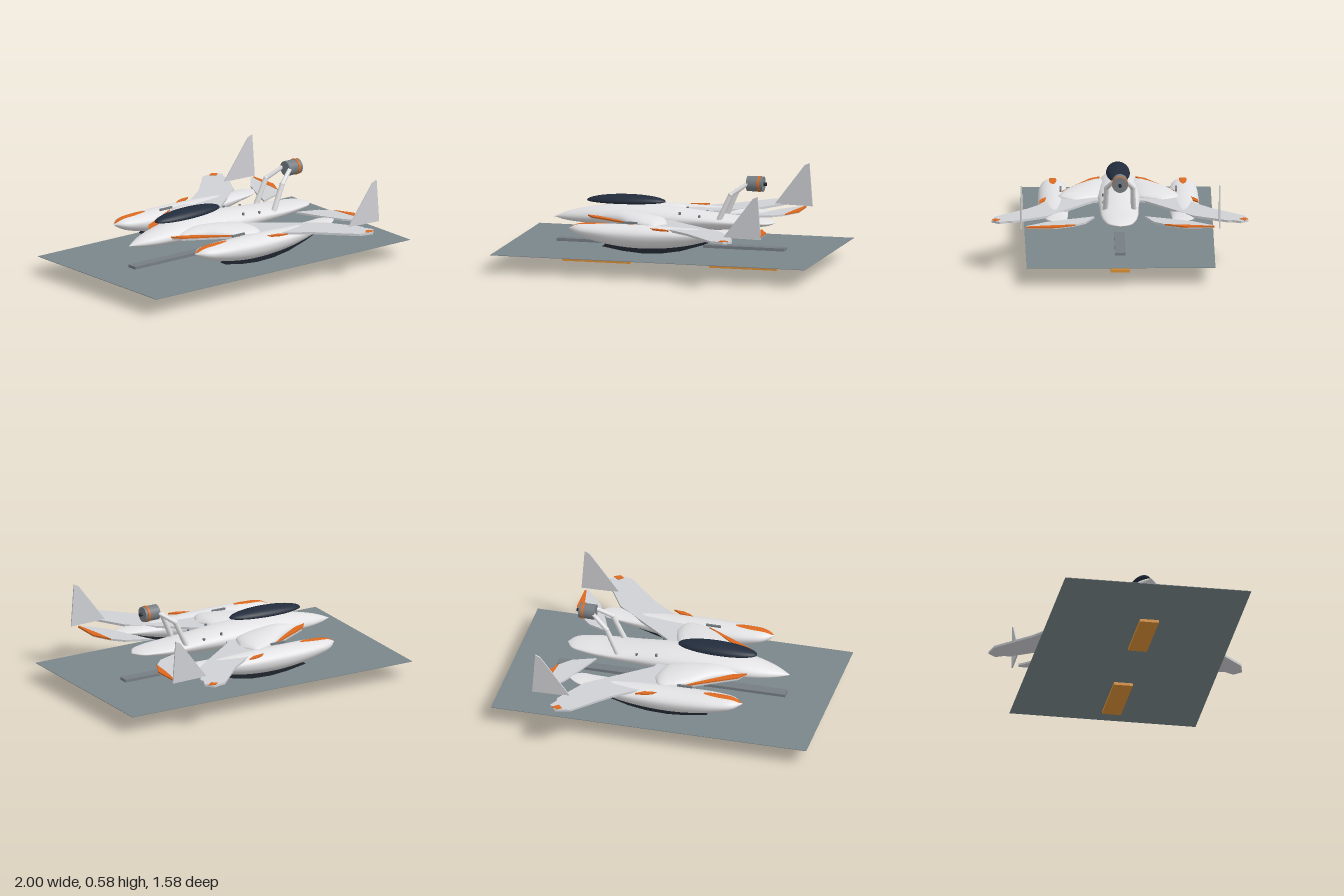
import * as THREE from 'three';

const mat = (name, color) => Object.assign(new THREE.MeshStandardMaterial({ color }), { name });
const M = {
  hull: mat('hull white', 0xe2e2e4), wing: mat('wing grey', 0xcfd0d4), orange: mat('orange trim', 0xdc6a20),
  deck: mat('water grey', 0x7a868a), glass: mat('canopy navy', 0x222c3c), metal: mat('metal grey', 0x767e83),
  amber: mat('amber base', 0xdc9236), cyan: mat('cyan post', 0x2fb4c8), keel: mat('keel dark', 0x1e242d),
};

export function createModel() {
  const root = new THREE.Group();
  root.name = 'seaplaneOnStand';
  const add = (name, geo, material, x = 0, y = 0, z = 0) => {
    const m = new THREE.Mesh(geo, material);
    m.name = name;
    m.position.set(x, y, z);
    root.add(m);
    return m;
  };

  // Smooth body along x; each section is [x, middle y, height up, height down, half width, centre z]
  const sampler = (sections) => {
    const f = new THREE.CubicInterpolant(
      new Float32Array(sections.map((s) => s[0])), new Float32Array(sections.flatMap((s) => s.slice(1))), 5);
    return (x) => Array.from(f.evaluate(x));
  };
  const loft = (sections, side = 1, nx = 48, nt = 32) => {
    const at = sampler(sections), x0 = sections[0][0], x1 = sections[sections.length - 1][0];
    const pos = [], idx = [];
    for (let i = 0; i <= nx; i++) {
      const x = x0 + (x1 - x0) * (0.5 - 0.5 * Math.cos((Math.PI * i) / nx));
      const [mid, up, down, half, zc] = at(x);
      for (let j = 0; j < nt; j++) {
        const t = (j / nt) * Math.PI * 2, s = Math.sin(t);
        pos.push(x, mid + s * Math.max(0.001, s > 0 ? up : down), side * zc + Math.cos(t) * Math.max(0.001, half));
        if (i === nx) continue;
        const a = i * nt + j, c = i * nt + ((j + 1) % nt);
        idx.push(a, a + nt, c, c, a + nt, c + nt);
      }
    }
    const g = new THREE.BufferGeometry();
    g.setAttribute('position', new THREE.Float32BufferAttribute(pos, 3));
    g.setIndex(idx);
    g.computeVertexNormals();
    return g;
  };

  // Flat panels: horizontal from [x, z] points, upright from [x, y] points
  const extrude = (pts, depth) => new THREE.ExtrudeGeometry(
    new THREE.Shape(pts.map((p) => new THREE.Vector2(p[0], p[1]))), { depth, bevelEnabled: false });
  const panel = (pts, side, top, thick) =>
    extrude(pts.map(([x, z]) => [x, z * side]), thick).rotateX(Math.PI / 2).translate(0, top, 0);
  const upright = (pts, z, thick) => extrude(pts, thick).translate(0, 0, z - thick / 2);

  // Water sheet and the two display stands
  add('waterSheet', new THREE.BoxGeometry(2, 0.003, 1.16), M.deck, 0, 0.11, 0);
  for (const x of [-0.468, 0.465]) {
    add('standRail', new THREE.BoxGeometry(0.515, 0.018, 0.065), M.metal, x, 0.127, 0);
    add('standPost', new THREE.CylinderGeometry(0.0125, 0.0125, 0.105, 20), M.cyan, x, 0.067, 0);
    add('standFoot', new THREE.BoxGeometry(0.43, 0.018, 0.117), M.amber, x, 0.009, 0);
  }

  // Fuselage
  add('fuselage', loft([
    [-0.75, 0.265, 0, 0, 0, 0], [-0.68, 0.27, 0.026, 0.02, 0.042, 0], [-0.6, 0.275, 0.045, 0.033, 0.076, 0],
    [-0.45, 0.285, 0.064, 0.05, 0.112, 0], [-0.2, 0.29, 0.074, 0.066, 0.13, 0], [0, 0.29, 0.069, 0.07, 0.13, 0],
    [0.2, 0.29, 0.05, 0.064, 0.12, 0], [0.4, 0.29, 0.03, 0.05, 0.114, 0], [0.55, 0.29, 0.02, 0.03, 0.092, 0],
    [0.63, 0.288, 0.01, 0.014, 0.055, 0], [0.66, 0.287, 0, 0, 0, 0],
  ]), M.hull);

  // Canopy, flatter underneath
  const canopy = new THREE.SphereGeometry(1, 40, 24);
  const cp = canopy.attributes.position;
  for (let i = 0; i < cp.count; i++) {
    const y = cp.getY(i);
    cp.setXYZ(i, cp.getX(i) * 0.25, y * (y > 0 ? 0.042 : 0.017), cp.getZ(i) * 0.073);
  }
  canopy.computeVertexNormals();
  add('canopy', canopy, M.glass, -0.29, 0.382, 0).rotation.z = 0.02;

  const floatSections = [
    [-0.55, 0.27, 0, 0, 0, 0.4], [-0.5, 0.265, 0.03, 0.028, 0.05, 0.4], [-0.4, 0.26, 0.045, 0.056, 0.08, 0.4],
    [-0.2, 0.25, 0.058, 0.08, 0.093, 0.4], [0, 0.25, 0.056, 0.083, 0.094, 0.4], [0.2, 0.26, 0.04, 0.068, 0.087, 0.4],
    [0.4, 0.276, 0.02, 0.032, 0.07, 0.39], [0.5, 0.286, 0.008, 0.012, 0.055, 0.385], [0.56, 0.288, 0, 0, 0, 0.385],
  ];
  const floatAt = sampler(floatSections);

  // Spindle of trim lying on the nose of a float
  const noseTrim = (side) => {
    const g = new THREE.PlaneGeometry(1, 1, 28, 6).rotateX(-Math.PI / 2), p = g.attributes.position;
    for (let i = 0; i < p.count; i++) {
      const u = p.getX(i) * 2, x = -0.423 + 0.122 * u;
      const [mid, up, , half, zc] = floatAt(x);
      const w = p.getZ(i) * 2 * Math.min(0.023 * Math.sqrt(Math.max(0, 1 - u * u)), half * 0.8);
      p.setXYZ(i, x, mid + up * Math.sqrt(1 - (w / half) ** 2) + 0.003, side * zc + w);
    }
    g.computeVertexNormals();
    return g;
  };

  for (const s of [1, -1]) {
    // Float with its keel
    add('float', loft(floatSections, s), M.hull);
    add('floatNoseTrim', noseTrim(s), M.orange);
    add('floatKeel', upright([
      [-0.33, 0.17], [-0.2, 0.148], [-0.08, 0.138], [0.05, 0.143], [0.17, 0.163], [0.3, 0.203],
      [0.4, 0.242], [0.36, 0.255], [0.2, 0.215], [-0.1, 0.19], [-0.3, 0.195],
    ], s * 0.4, 0.05), M.keel);

    // Swept wing with a rounded root blister
    add('wing', panel([
      [-0.5, 0.09], [-0.46, 0.165], [-0.155, 0.34], [-0.05, 0.39], [0.09, 0.44], [0.25, 0.56], [0.45, 0.77],
      [0.54, 0.79], [0.582, 0.742], [0.555, 0.69], [0.56, 0.66], [0.44, 0.45], [0.07, 0.16], [0.05, 0.09],
    ], s, 0.298, 0.014), M.wing);
    add('wingRootBlister', loft([
      [-0.45, 0.297, 0, 0, 0, 0.12], [-0.39, 0.297, 0.025, 0.012, 0.04, 0.115], [-0.3, 0.297, 0.043, 0.016, 0.08, 0.135],
      [-0.2, 0.297, 0.046, 0.018, 0.12, 0.18], [-0.08, 0.297, 0.04, 0.018, 0.135, 0.225],
      [0, 0.297, 0.024, 0.015, 0.105, 0.25], [0.04, 0.297, 0, 0, 0, 0.27],
    ], s), M.hull);
    add('wingLeadingTrim', panel([[-0.505, 0.11], [-0.462, 0.168], [-0.15, 0.345], [-0.235, 0.275], [-0.42, 0.14]],
      s, 0.306, 0.009), M.orange);
    add('wingFloatTrim', panel([[-0.02, 0.445], [0.01, 0.468], [0.05, 0.485], [0.11, 0.49], [0.06, 0.455]],
      s, 0.301, 0.009), M.orange);
    add('wingTipTrim', panel([[0.5, 0.765], [0.53, 0.787], [0.565, 0.765], [0.53, 0.735]], s, 0.301, 0.006), M.orange);
    add('wingRib', new THREE.BoxGeometry(0.095, 0.012, 0.012), M.metal, -0.172, 0.312, s * 0.355);

    // Tailplane and upright fin
    add('tailplane', panel([
      [0.44, 0.155], [0.5, 0.3], [0.57, 0.45], [0.675, 0.58], [0.695, 0.575], [0.7, 0.39], [0.645, 0.28], [0.58, 0.21],
    ], s, 0.295, 0.012), M.wing);
    add('tailplaneTrim', panel([[0.69, 0.578], [0.701, 0.575], [0.703, 0.39], [0.645, 0.275], [0.662, 0.42]],
      s, 0.297, 0.009), M.orange);
    add('fin', upright([[0.49, 0.295], [0.68, 0.545], [0.71, 0.558], [0.73, 0.29]], s * 0.61, 0.008), M.wing);

    // Engine struts and deck fittings
    const joints = [[0.315, 0.29, 0.088], [0.395, 0.465, 0.08], [0.49, 0.53, 0.035]]
      .map(([x, y, z]) => new THREE.Vector3(x, y, z * s));
    [0.017, 0.014].forEach((r, i) => {
      const a = joints[i], b = joints[i + 1], d = b.clone().sub(a);
      const m = add('engineStrut', new THREE.CylinderGeometry(r * 0.9, r, d.length(), 16), M.hull);
      m.position.copy(a).add(b).multiplyScalar(0.5);
      m.quaternion.setFromUnitVectors(new THREE.Vector3(0, 1, 0), d.normalize());
    });
    add('strutJoint', new THREE.SphereGeometry(0.0165, 16, 12), M.hull, ...joints[1].toArray());
    for (const [x, y] of [[0.075, 0.337], [0.2, 0.322]])
      add('deckFitting', new THREE.CylinderGeometry(0.008, 0.008, 0.016, 12), M.metal, x, y, s * 0.095);
  }

  // Engine
  const drum = (name, r, x0, x1, material) => add(name,
    new THREE.CylinderGeometry(r, r, x1 - x0, 32).rotateZ(Math.PI / 2), material, (x0 + x1) / 2, 0.527, 0);
  drum('engineBody', 0.047, 0.482, 0.584, M.metal);
  drum('engineRing', 0.05, 0.552, 0.566, M.orange);
  drum('engineShaft', 0.01, 0.58, 0.603, M.keel);
  return root;
}
